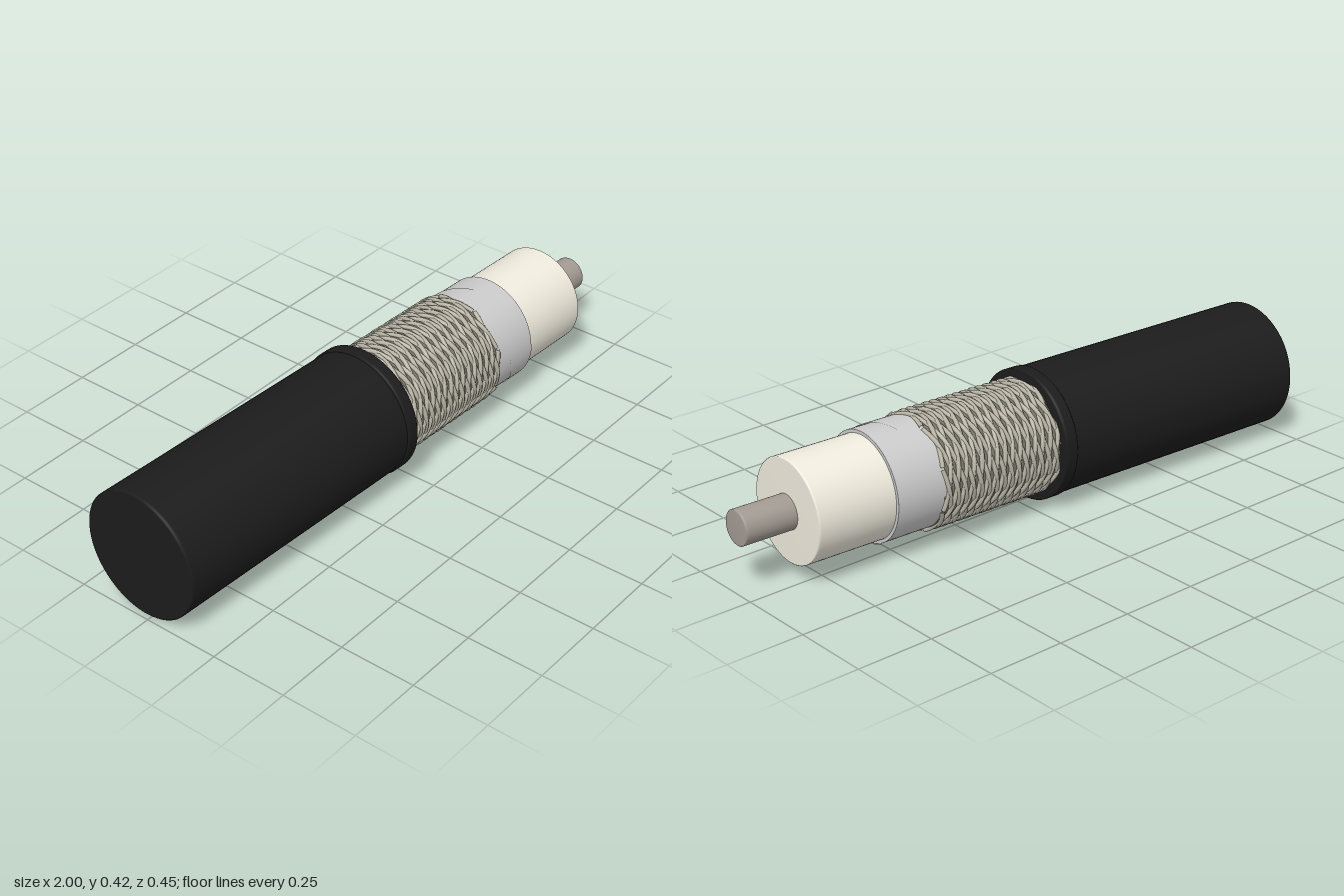
import * as THREE from 'three';
import { ParametricGeometry } from 'three/addons/geometries/ParametricGeometry.js';

const paint = (color) => new THREE.MeshStandardMaterial({ color });

// Helix round the x axis whose radius swells and sinks so crossing strands weave
class WovenStrand extends THREE.Curve {
  constructor(start, end, turnRate, phase, direction, radius, swell, count) {
    super();
    Object.assign(this, { start, end, turnRate, phase, direction, radius, swell, count });
  }
  getPoint(t, target = new THREE.Vector3()) {
    const along = t * (this.end - this.start);
    const a = this.phase + this.direction * this.turnRate * along;
    const r = this.radius + this.direction * this.swell * Math.cos(this.count * this.turnRate * along);
    return target.set(this.start + along, r * Math.cos(a), r * Math.sin(a));
  }
}

export function createModel() {
  const model = new THREE.Group();
  const cable = new THREE.Group();
  cable.name = 'cable';
  model.add(cable);

  const add = (name, geometry, material, parent = cable) => {
    const mesh = new THREE.Mesh(geometry, material);
    mesh.name = name;
    parent.add(mesh);
    return mesh;
  };

  // Capped round bar along x with a small bevel at each end
  const bar = (name, x0, x1, r, bevel, material) => {
    const profile = [
      [0, x0], [r - bevel, x0], [r, x0 + bevel], [r, x0 + bevel * 3],
      [r, x1 - bevel * 3], [r, x1 - bevel], [r - bevel, x1], [0, x1],
    ].map(([px, py]) => new THREE.Vector2(px, py));
    const geometry = new THREE.LatheGeometry(profile, 72);
    geometry.rotateZ(-Math.PI / 2);
    return add(name, geometry, material);
  };

  const black = paint(0x1c1c1c);
  const foil = paint(0xdcdedb);
  const strandColor = paint(0xb9b6a6);

  // Outer jacket and its cut lip
  bar('jacket', -0.99, -0.045, 0.205, 0.004, black);
  bar('jacketLip', -0.083, -0.037, 0.209, 0.004, black);

  // Inner layers, each stripped back further than the last
  bar('braidBase', -0.06, 0.395, 0.175, 0.001, paint(0x77756b));
  bar('foilShield', 0.3, 0.56, 0.1735, 0.001, foil);
  bar('dielectric', 0.5, 0.826, 0.163, 0.003, paint(0xf0ecde));
  bar('coreConductor', 0.78, 0.997, 0.055, 0.003, paint(0xa39b93));

  // Overlapping edge of the foil wrap, running as a helix from back to front
  const wrap = new ParametricGeometry((u, v, target) => {
    const a = -0.5 + u * (Math.PI * 2 - 0.2);
    const seam = 0.4 + (a / Math.PI) * 0.16;
    const x = THREE.MathUtils.clamp(seam - 0.11 * (1 - v), 0.39, 0.56);
    const r = 0.176;
    target.set(x, r * Math.sin(a), -r * Math.cos(a));
  }, 72, 6);
  const wrapMaterial = paint(0xdcdedb);
  wrapMaterial.side = THREE.DoubleSide;
  add('foilOverlap', wrap, wrapMaterial);

  // Braid woven from two opposing sets of helical strands
  const braid = new THREE.Group();
  braid.name = 'braid';
  cable.add(braid);
  const count = 8;
  const turnRate = (Math.PI * 2) / 0.23;
  for (const direction of [1, -1]) {
    for (let i = 0; i < count; i++) {
      const path = new WovenStrand(-0.05, 0.395, turnRate, (i / count) * Math.PI * 2, direction, 0.1765, 0.002, count);
      add('braidStrand', new THREE.TubeGeometry(path, 200, 0.0075, 6), strandColor, braid);
    }
  }

  // The cable lies level, turned slightly towards the front
  cable.rotation.y = -0.042;
  cable.position.set(0, 0.209, 0.0165);
  return model;
}
